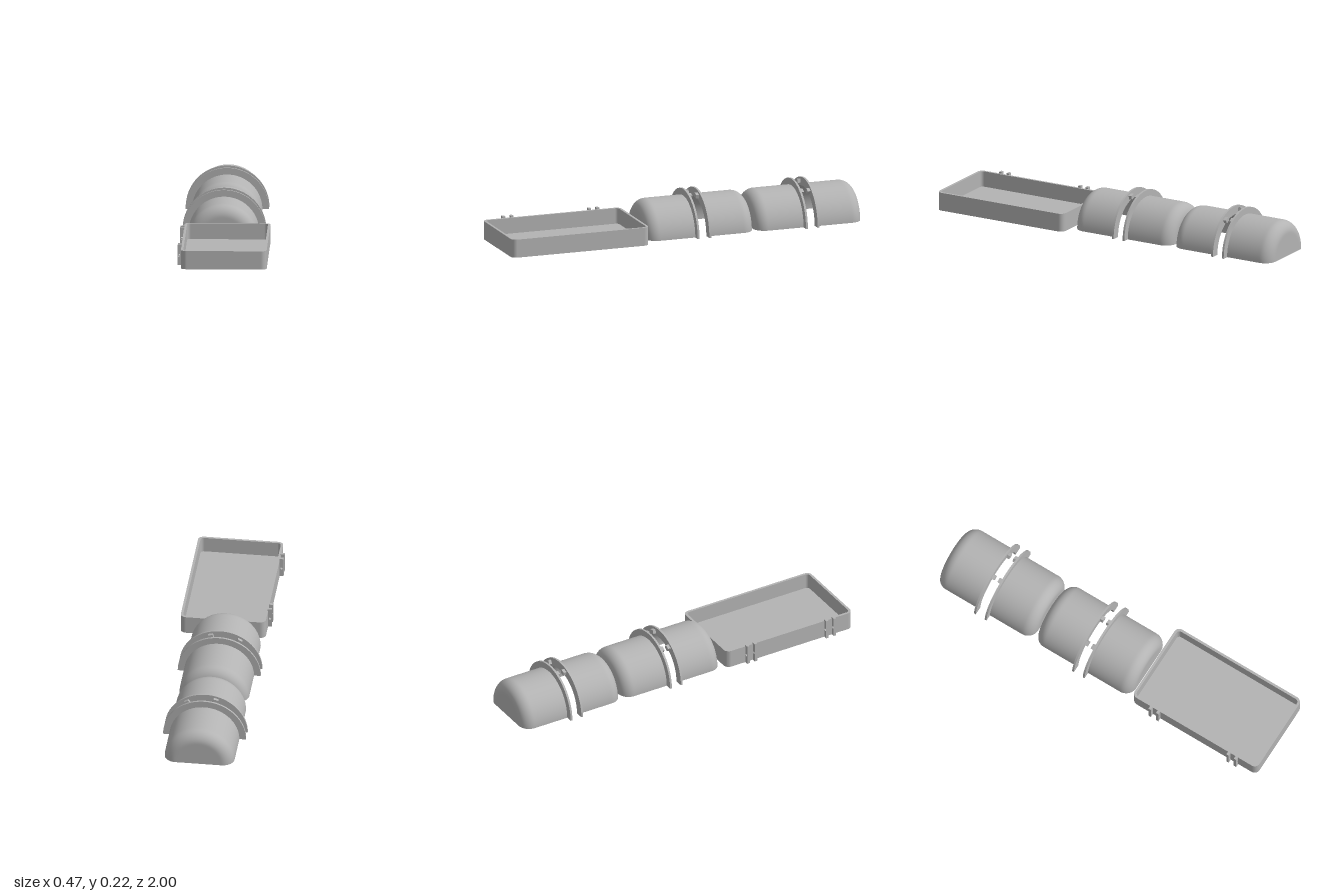
import * as THREE from 'three';
import { mergeGeometries } from 'three/addons/utils/BufferGeometryUtils.js';

const grey = new THREE.MeshStandardMaterial({ color: 0xb3b3b3 });
grey.name = 'plain grey';

const R = 0.185, WALL = 0.011, LENGTH = 0.271, FILLET = 0.062;
const FLANGE_R = 0.22, FLANGE_T = 0.011;

function add(parent, name, geometry) {
  const mesh = new THREE.Mesh(geometry, grey);
  mesh.name = name;
  parent.add(mesh);
  return mesh;
}

// Profile of a round-cornered cup, from its open rim to the centre of its closed end
function cupProfile(r, length, fillet) {
  const pts = [new THREE.Vector2(r, 0), new THREE.Vector2(r, length - fillet - 0.01)];
  for (let i = 0; i <= 12; i++) {
    const a = (i / 12) * Math.PI / 2;
    pts.push(new THREE.Vector2(r - fillet + fillet * Math.cos(a), length - fillet + fillet * Math.sin(a)));
  }
  pts.push(new THREE.Vector2(r - fillet - 0.01, length), new THREE.Vector2(0, length));
  return pts;
}

// Hollow half cup lying on y = 0, open at z = 0 and underneath
function shellGeometry() {
  const outer = cupProfile(R, LENGTH, FILLET);
  const inner = cupProfile(R - WALL, LENGTH - WALL, FILLET - WALL).reverse();
  const parts = [outer, inner].map(p => new THREE.LatheGeometry(p, 48, Math.PI / 2, Math.PI).rotateX(Math.PI / 2));
  for (const side of [1, -1]) {
    const section = new THREE.Shape([...outer, ...inner].map(p => new THREE.Vector2(side * p.x, p.y)));
    parts.push(new THREE.ShapeGeometry(section).rotateX(Math.PI / 2));
  }
  return mergeGeometries(parts);
}

// Half ring around the open end
function flangeGeometry() {
  const ring = new THREE.Shape();
  ring.absarc(0, 0, FLANGE_R, 0, Math.PI, false);
  ring.absarc(0, 0, R - WALL, Math.PI, 0, true);
  ring.closePath();
  return new THREE.ExtrudeGeometry(ring, { depth: FLANGE_T, bevelEnabled: false, curveSegments: 48 });
}

// One half shell with its flange and two lugs reaching into the gap
function halfShell(name, z, facesBack, angles) {
  const group = new THREE.Group();
  group.name = name;
  add(group, 'shell', shellGeometry());
  add(group, 'flange', flangeGeometry());
  for (const degrees of angles) {
    const a = THREE.MathUtils.degToRad(facesBack ? 180 - degrees : degrees);
    const lug = add(group, 'lug', new THREE.BoxGeometry(0.022, 0.026, 0.017));
    lug.position.set(0.198 * Math.cos(a), 0.198 * Math.sin(a), -0.0085);
    lug.rotation.z = a;
  }
  group.position.set(-0.018, 0, z);
  if (facesBack) group.rotation.y = Math.PI;
  return group;
}

// Rounded rectangle in the ground plane, drawn into a Shape or Path
function roundedRect(path, w, d, r) {
  const x = w / 2 - r, y = d / 2 - r;
  path.absarc(x, y, r, 0, Math.PI / 2);
  path.absarc(-x, y, r, Math.PI / 2, Math.PI);
  path.absarc(-x, -y, r, Math.PI, Math.PI * 1.5);
  path.absarc(x, -y, r, Math.PI * 1.5, Math.PI * 2);
  path.closePath();
  return path;
}

function upright(shape, height) {
  return new THREE.ExtrudeGeometry(shape, { depth: height, bevelEnabled: false, curveSegments: 8 }).rotateX(-Math.PI / 2);
}

function tray() {
  const group = new THREE.Group();
  group.name = 'tray';
  const w = 0.452, d = 0.773, h = 0.098, wall = 0.013, floor = 0.014;
  const cx = 0.009, cz = 0.6135;

  // Floor and walls
  add(group, 'trayFloor', upright(roundedRect(new THREE.Shape(), w, d, 0.03), floor)).position.set(cx, 0, cz);
  const rim = roundedRect(new THREE.Shape(), w, d, 0.03);
  rim.holes.push(roundedRect(new THREE.Path(), w - 2 * wall, d - 2 * wall, 0.018));
  add(group, 'trayWalls', upright(rim, h - floor)).position.set(cx, floor, cz);

  // Paired hinge plates with pin holes
  const plate = new THREE.Shape();
  plate.moveTo(-0.237, 0).lineTo(-0.215, 0).lineTo(-0.215, 0.107).lineTo(-0.237, 0.107).closePath();
  plate.holes.push(new THREE.Path().absarc(-0.228, 0.05, 0.0075, 0, Math.PI * 2, true));
  const plateGeometry = new THREE.ExtrudeGeometry(plate, { depth: 0.015, bevelEnabled: false });
  for (const z of [0.342, 0.388, 0.825, 0.871]) {
    add(group, 'hingePlate', plateGeometry).position.z = z;
  }
  return group;
}

export function createModel() {
  const model = new THREE.Group();
  model.name = 'shellsAndTray';
  model.add(tray());

  // Two pairs of half shells, lugs mirrored between the pairs
  const pairs = [['front', -0.0925, [75, 120]], ['rear', -0.7015, [60, 105]]];
  for (const [name, z, angles] of pairs) {
    model.add(halfShell(name + 'PairFrontShell', z + 0.0275, false, angles));
    model.add(halfShell(name + 'PairBackShell', z - 0.0275, true, angles));
  }
  return model;
}
